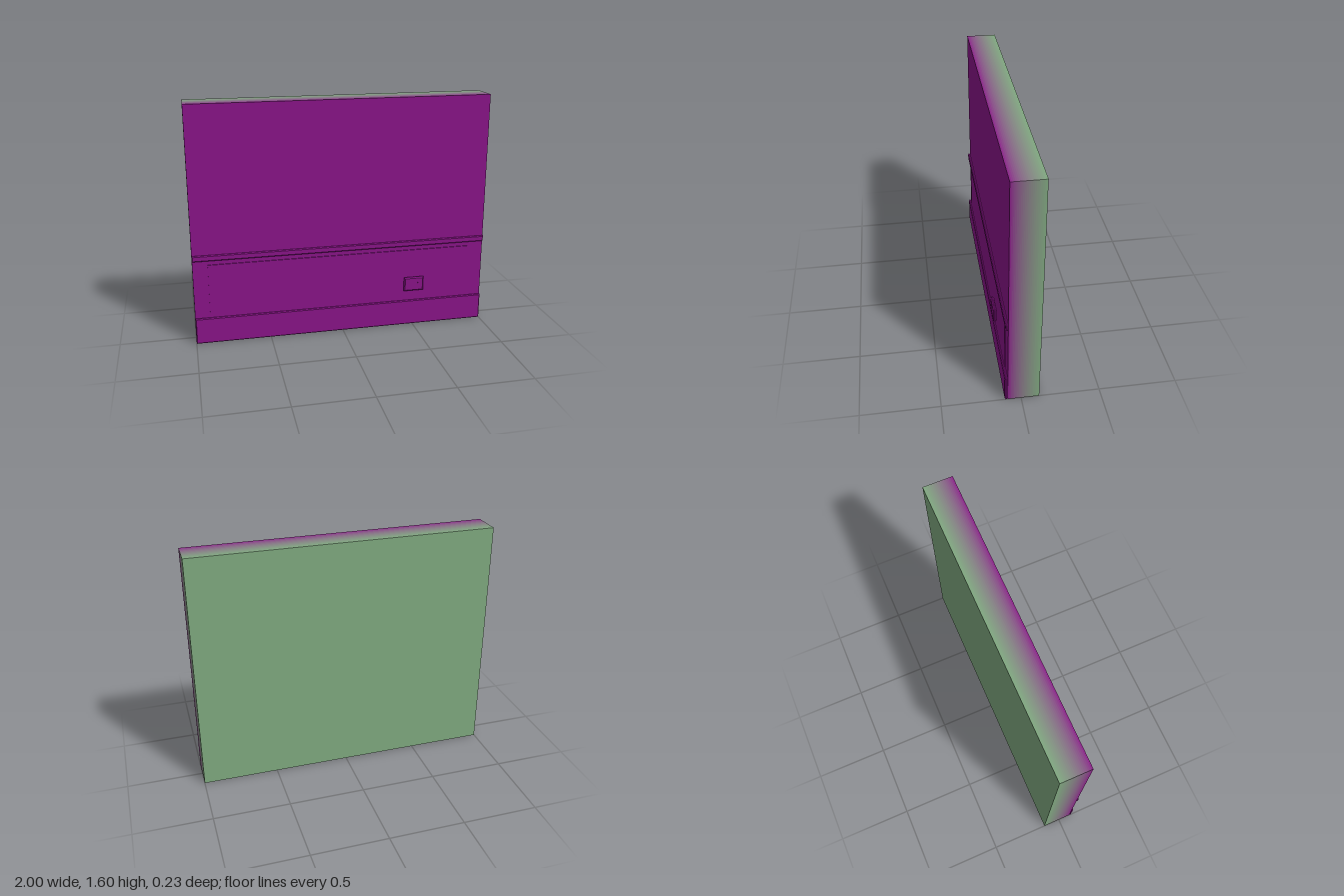
import * as THREE from 'three';

const FRONT = new THREE.Color(0x8a1489);
const BACK = new THREE.Color(0x80aa80);
const WALL_FRONT = 0.085, WALL_BACK = -0.115;

const paint = (color) => new THREE.MeshStandardMaterial({ color });

function add(parent, name, geometry, material, x = 0, y = 0, z = 0) {
  const mesh = new THREE.Mesh(geometry, material);
  mesh.name = name;
  mesh.position.set(x, y, z);
  parent.add(mesh);
  return mesh;
}

// Box with chamfered edges, centred in x and y, its back at z = 0
function chamferedBox(w, h, d, b) {
  const x = w / 2 - b, y = h / 2 - b;
  const shape = new THREE.Shape([
    new THREE.Vector2(-x, -y), new THREE.Vector2(x, -y),
    new THREE.Vector2(x, y), new THREE.Vector2(-x, y),
  ]);
  return new THREE.ExtrudeGeometry(shape, {
    depth: d - 2 * b, bevelEnabled: true, bevelSize: b, bevelThickness: b, bevelSegments: 1,
  }).translate(0, 0, b);
}

// Wall slab: plain front and back, edges fading from one colour to the other
function makeWall() {
  const wall = new THREE.Group();
  wall.name = 'wall';
  const bands = 20, w = 2, h = 1.6;
  const step = (WALL_FRONT - WALL_BACK) / bands;
  add(wall, 'wallFront', new THREE.PlaneGeometry(w, h), paint(FRONT), 0, h / 2, WALL_FRONT);
  add(wall, 'wallBack', new THREE.PlaneGeometry(w, h), paint(BACK), 0, h / 2, WALL_BACK).rotation.y = Math.PI;

  // Keep only the four outer sides of each band
  const ring = new THREE.BoxGeometry(w, h, step);
  ring.setIndex(Array.from(ring.index.array.slice(0, 24)));
  ring.clearGroups();
  for (let i = 0; i < bands; i++) {
    const t = (i + 0.5) / bands;
    add(wall, 'wallEdge', ring, paint(FRONT.clone().lerp(BACK, t)), 0, h / 2, WALL_FRONT - (i + 0.5) * step);
  }
  return wall;
}

export function createModel() {
  const model = new THREE.Group();
  model.name = 'wallSection';
  const purple = paint(FRONT);
  model.add(makeWall());

  // Trim along the lower wall
  add(model, 'skirtingBoard', chamferedBox(2, 0.18, 0.018, 0.006), purple, 0, 0.09, WALL_FRONT);
  add(model, 'wainscotPanel', new THREE.BoxGeometry(1.8, 0.37, 0.007), purple, 0, 0.365, WALL_FRONT + 0.0035);
  add(model, 'chairRail', chamferedBox(2, 0.04, 0.016, 0.006), purple, 0, 0.6, WALL_FRONT);

  // Power outlet with two slots
  const outlet = new THREE.Group();
  outlet.name = 'outlet';
  outlet.position.set(0.5, 0.305, 0.094);
  add(outlet, 'outletPlate', chamferedBox(0.14, 0.1, 0.02, 0.008), purple);
  for (const side of [-1, 1]) {
    add(outlet, 'outletSlot', new THREE.BoxGeometry(0.008, 0.03, 0.004), purple, side * 0.032, 0, 0.019);
  }
  model.add(outlet);
  return model;
}
